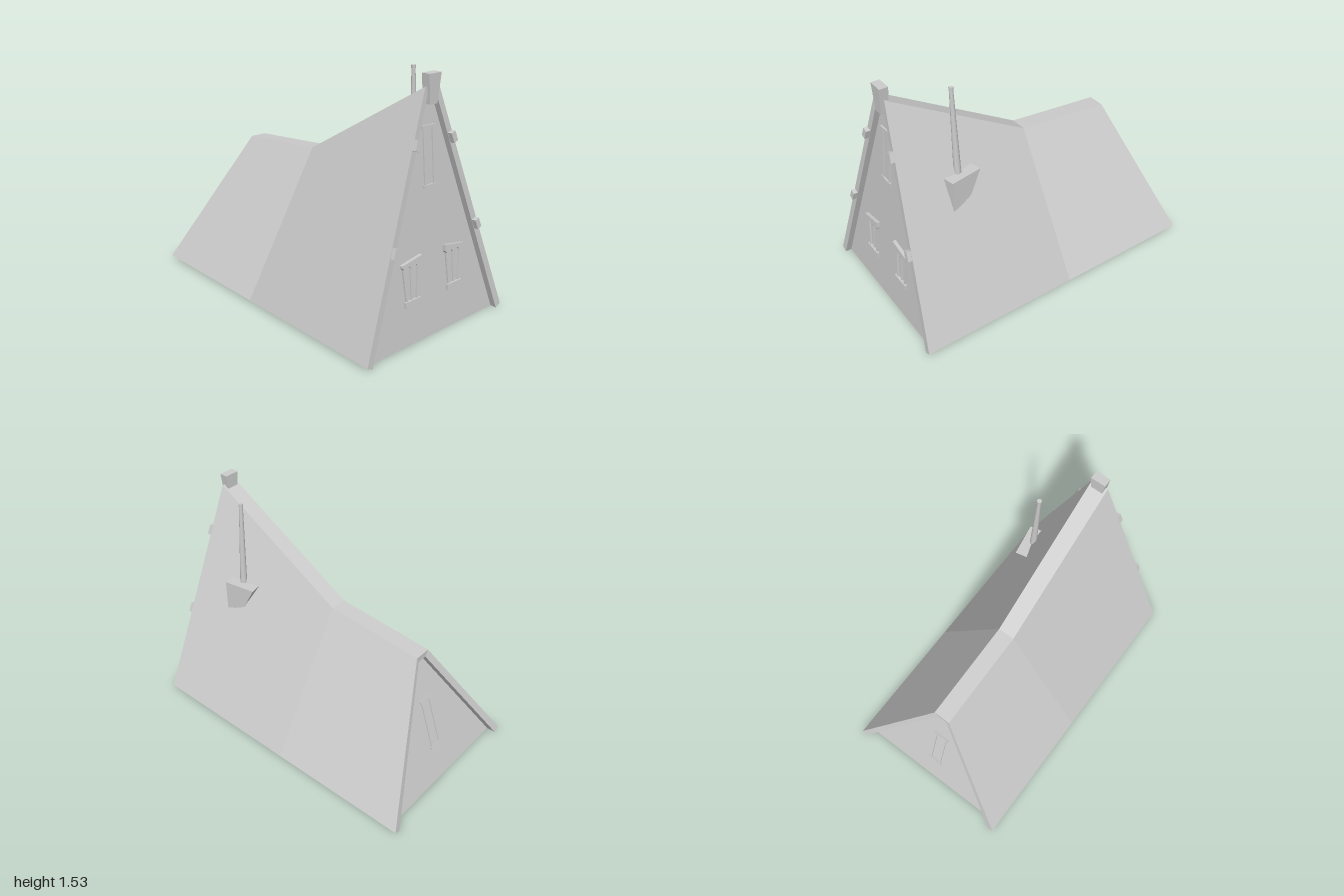
import * as THREE from 'three';

const material = new THREE.MeshStandardMaterial({ color: 0xcccccc });

function add(parent, name, geometry) {
  const mesh = new THREE.Mesh(geometry, material);
  mesh.name = name;
  parent.add(mesh);
  return mesh;
}

// Loft through equal rings, front to back, each counterclockwise seen from +z.
// Every quad gets one normal; warped quads fold from the higher front corner.
function loft(rings) {
  const pos = [], normals = [];
  const quad = (...corners) => {
    const [a, b, c, d] = corners.map((p) => new THREE.Vector3(...p));
    const normal = c.clone().sub(a).cross(d.clone().sub(b)).normalize();
    for (const p of [a, b, c, a, c, d]) {
      pos.push(p.x, p.y, p.z);
      normals.push(normal.x, normal.y, normal.z);
    }
  };
  const n = rings[0].length;
  for (let r = 0; r < rings.length - 1; r++) {
    const f = rings[r], b = rings[r + 1];
    for (let k = 0; k < n; k++) {
      const m = (k + 1) % n;
      if (f[m][1] > f[k][1]) quad(b[k], b[m], f[m], f[k]);
      else quad(f[k], b[k], b[m], f[m]);
    }
  }
  const f = rings[0], b = rings[rings.length - 1];
  for (let k = 0; k < n / 2 - 1; k++) {
    quad(f[k], f[k + 1], f[n - 2 - k], f[n - 1 - k]);
    quad(b[n - 1 - k], b[n - 2 - k], b[k + 1], b[k]);
  }
  const g = new THREE.BufferGeometry();
  g.setAttribute('position', new THREE.Float32BufferAttribute(pos, 3));
  g.setAttribute('normal', new THREE.Float32BufferAttribute(normals, 3));
  return g;
}

// Straight bar lying on a wall, from (x1, y1) to (x2, y2).
function bar(parent, name, x1, y1, x2, y2, width, depth) {
  const dx = x2 - x1, dy = y2 - y1;
  const mesh = add(parent, name, new THREE.BoxGeometry(width, Math.hypot(dx, dy), depth));
  mesh.position.set((x1 + x2) / 2, (y1 + y2) / 2, depth / 2);
  mesh.rotation.z = -Math.atan2(dx, dy);
}

const FRONT_LEAN = 0.09, BACK_LEAN = 0.34;
const frontZ = (y) => 0.96 - FRONT_LEAN * y;
const backZ = (y) => -0.94 + BACK_LEAN * y;

// Group that lies on the leaning front or back wall.
function onWall(parent, name, x, y, back = false) {
  const g = new THREE.Group();
  g.name = name;
  g.position.set(x, y, back ? backZ(y) : frontZ(y));
  g.rotation.set(-Math.atan(back ? BACK_LEAN : FRONT_LEAN), back ? Math.PI : 0, 0, 'YXZ');
  parent.add(g);
  return g;
}

function tallWindow(parent, name, y, back) {
  const g = onWall(parent, name, 0, y, back);
  bar(g, 'lintel', -0.055, 0.168, 0.055, 0.168, 0.016, 0.012);
  bar(g, 'sill', -0.055, -0.168, 0.055, -0.168, 0.016, 0.012);
  for (const s of [-1, 1]) bar(g, 'jamb', s * 0.037, -0.165, s * 0.037, 0.165, 0.014, 0.008);
}

function awningWindow(parent, s) {
  const g = onWall(parent, s > 0 ? 'leftWindow' : 'rightWindow', s * 0.18, 0.376);
  bar(g, 'sill', -s * 0.064, -0.12, s * 0.06, -0.12, 0.036, 0.018);
  bar(g, 'innerJamb', -s * 0.043, -0.11, -s * 0.06, 0.11, 0.013, 0.01);
  bar(g, 'outerJamb', s * 0.04, -0.11, s * 0.062, 0.11, 0.013, 0.01);
  bar(g, 'mullion', 0, -0.11, 0, 0.11, 0.01, 0.008);
  // Awning with a slanted top, highest toward the middle, and a scalloped lower edge
  const shape = new THREE.Shape();
  shape.moveTo(s * 0.081, 0.122);
  shape.lineTo(-s * 0.081, 0.148);
  shape.lineTo(-s * 0.081, 0.11);
  for (let i = 0; i < 3; i++) {
    const x = -0.081 + i * 0.054;
    shape.quadraticCurveTo(s * (x + 0.027), 0.07, s * (x + 0.054), 0.108);
  }
  add(g, 'awning', new THREE.ExtrudeGeometry(shape, { depth: 0.022, bevelEnabled: false, curveSegments: 5 }));
}

export function createModel() {
  const house = new THREE.Group();
  house.name = 'house';

  // Roof shell: [ridge height, ridge z, eave z] from front to back
  const stations = [[1.46, 0.87, 1], [0.925, -0.06, -0.06], [0.87, -0.71, -1]];
  add(house, 'roof', loft(stations.map(([h, zr, ze]) => [
    [0.58, 0.02, ze], [0.055, h, zr], [-0.055, h, zr], [-0.58, 0.02, ze],
    [-0.54, 0, ze], [-0.033, h - 0.04, zr], [0.033, h - 0.04, zr], [0.54, 0, ze],
  ])));

  // Walls and floor filling the roof, set back from its edges
  const wallRing = (h, x, zTop, zBase) => [
    [0.54, 0, zBase], [x, h, zTop], [-x, h, zTop], [-0.54, 0, zBase]];
  add(house, 'walls', loft([
    wallRing(1.4, 0.04, frontZ(1.4), frontZ(0)),
    wallRing(0.885, 0.033, -0.06, -0.06),
    wallRing(0.83, 0.033, backZ(0.83), backZ(0)),
  ]));

  // Tapered ridge cap at the front peak
  const capRing = (zBottom, zTop) => [
    [0.03, 1.36, zBottom], [0.049, 1.53, zTop], [-0.049, 1.53, zTop], [-0.03, 1.36, zBottom]];
  add(house, 'ridgeCap', loft([capRing(0.886, 0.89), capRing(0.835, 0.835)]));

  // Purlin ends on the front roof edges
  for (const s of [-1, 1]) {
    for (const [x, y, z] of [[0.148, 1.157, 0.906], [0.345, 0.605, 0.956]]) {
      const end = add(house, 'purlinEnd', new THREE.BoxGeometry(0.034, 0.062, 0.034));
      end.position.set(s * x, y, z);
      end.rotation.set(-0.09, 0, s * 0.35);
    }
  }

  // Windows
  tallWindow(house, 'upperWindow', 1.064, false);
  tallWindow(house, 'backWindow', 0.38, true);
  for (const s of [-1, 1]) awningWindow(house, s);

  // Wedge-shaped chimney base growing out of the left roof slope
  add(house, 'chimneyBase', loft([
    [[0.315, 0.7, 0.625], [0.315, 0.95, 0.625], [0.235, 0.95, 0.642], [0.235, 0.7, 0.635]],
    [[0.305, 0.7, 0.545], [0.28, 0.95, 0.415], [0.2, 0.95, 0.432], [0.225, 0.7, 0.555]],
  ]));

  // Leaning stovepipe with a collar at its mouth
  const from = new THREE.Vector3(0.235, 0.93, 0.543), to = new THREE.Vector3(0.207, 1.505, 0.543);
  const axis = to.clone().sub(from);
  const length = axis.length();
  const pipe = new THREE.Group();
  pipe.name = 'stovepipe';
  pipe.position.copy(from);
  pipe.quaternion.setFromUnitVectors(new THREE.Vector3(0, 1, 0), axis.normalize());
  house.add(pipe);
  add(pipe, 'pipe', new THREE.CylinderGeometry(0.012, 0.023, length, 10)).position.y = length / 2;
  add(pipe, 'collar', new THREE.CylinderGeometry(0.014, 0.014, 0.02, 10)).position.y = length - 0.01;

  return house;
}
